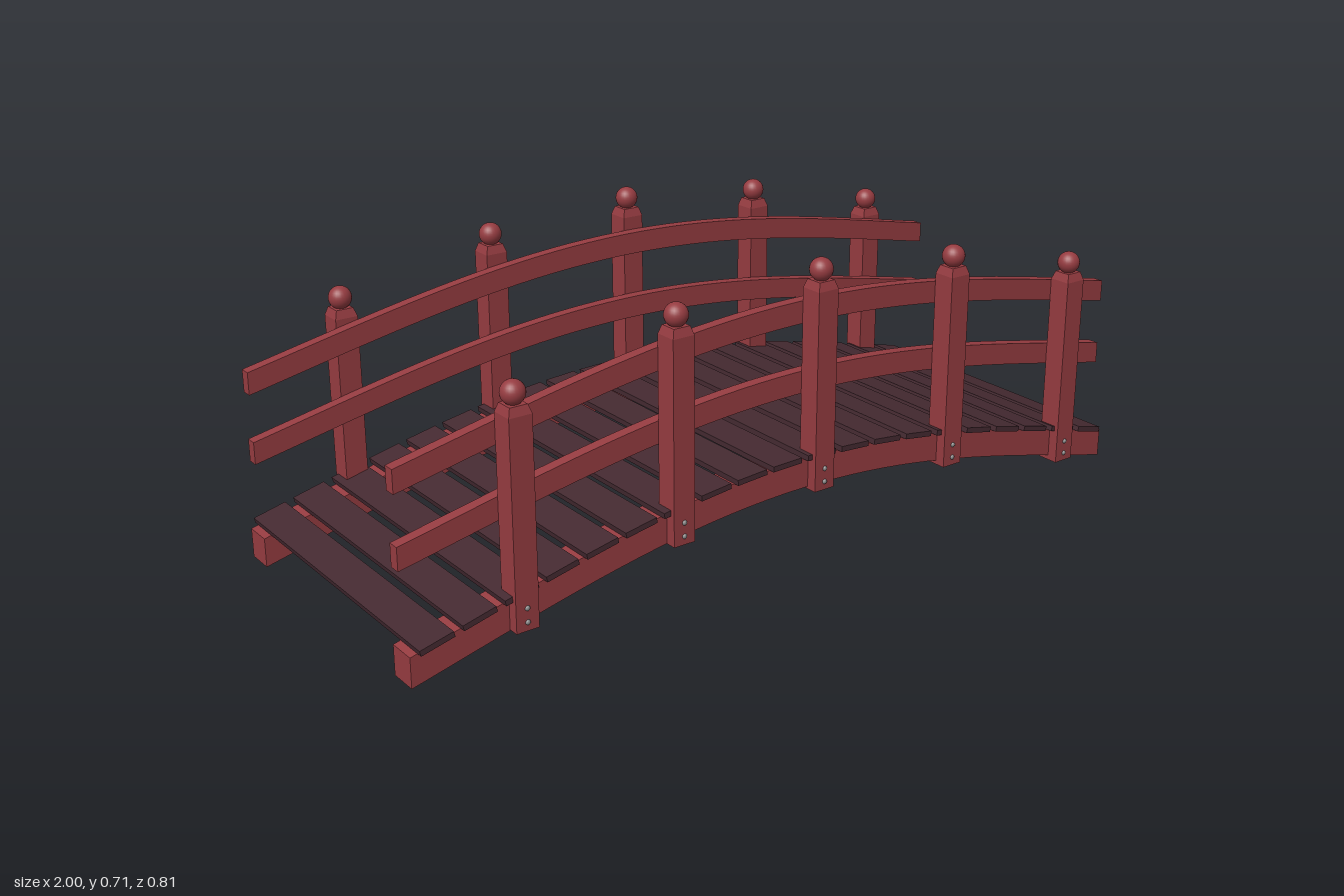
import * as THREE from 'three';
import { toCreasedNormals } from 'three/addons/utils/BufferGeometryUtils.js';

const red = new THREE.MeshStandardMaterial({ color: 0x963c41 });
const dark = new THREE.MeshStandardMaterial({ color: 0x452a31 });
const metal = new THREE.MeshStandardMaterial({ color: 0x8a8a8a });

// Arch: 0 at the crown, 1 at either end, nearly straight towards the ends
const BEND = 1.8;
const arch = (x) => (1 - Math.cos(BEND * x)) / (1 - Math.cos(BEND));
const DROP = 0.17;
const beamTop = (x) => 0.245 - DROP * arch(x);

function add(parent, geometry, material, name, x = 0, y = 0, z = 0) {
  const mesh = new THREE.Mesh(geometry, material);
  mesh.name = name;
  mesh.position.set(x, y, z);
  parent.add(mesh);
  return mesh;
}

// Curved timber running the length of the bridge, with upright cut ends
function curvedTimber(top, thickness, drop, width) {
  const n = 40;
  const points = [];
  for (let i = 0; i <= n; i++) {
    const x = -1 + (2 * i) / n;
    points.push(new THREE.Vector2(x, top - thickness - drop * arch(x)));
  }
  for (let i = n; i >= 0; i--) {
    const x = -1 + (2 * i) / n;
    points.push(new THREE.Vector2(x, top - drop * arch(x)));
  }
  const geometry = new THREE.ExtrudeGeometry(new THREE.Shape(points), { depth: width, bevelEnabled: false });
  geometry.translate(0, 0, -width / 2);
  return toCreasedNormals(geometry, 0.5);
}

export function createModel() {
  const bridge = new THREE.Group();
  bridge.name = 'archedFootbridge';

  const beam = curvedTimber(0.245, 0.07, DROP, 0.07);
  const topRail = curvedTimber(0.61, 0.053, 0.14, 0.028);
  const lowerRail = curvedTimber(0.445, 0.053, 0.14, 0.028);

  // Post parts, measured up from the foot of the post
  const size = 0.055;
  const shaft = new THREE.BoxGeometry(size, 0.472, size);
  const cap = new THREE.CylinderGeometry(0.021 * Math.SQRT2, (size / 2) * Math.SQRT2, 0.02, 4, 1);
  cap.rotateY(Math.PI / 4);
  const capFlat = cap.toNonIndexed();
  capFlat.computeVertexNormals();
  const ball = new THREE.SphereGeometry(0.027, 24, 16);
  const bolt = new THREE.SphereGeometry(0.006, 10, 8);
  bolt.scale(1, 1, 0.8);

  for (const side of [1, -1]) {
    const railing = new THREE.Group();
    railing.name = side > 0 ? 'frontRailing' : 'backRailing';
    bridge.add(railing);
    add(railing, beam, red, 'supportBeam', 0, 0, side * 0.34);
    add(railing, topRail, red, 'topRail', 0, 0, side * 0.332);
    add(railing, lowerRail, red, 'lowerRail', 0, 0, side * 0.332);

    for (const x of [-0.742, -0.345, 0.047, 0.447, 0.84]) {
      const post = new THREE.Group();
      post.name = 'post';
      post.position.set(x, 0.17 - DROP * arch(x), side * 0.3735);
      railing.add(post);
      add(post, shaft, red, 'postShaft', 0, 0.236, 0);
      add(post, capFlat, red, 'postCap', 0, 0.482, 0);
      add(post, ball, red, 'ballFinial', 0, 0.515, 0);
      for (const y of [0.02, 0.052]) add(post, bolt, metal, 'bolt', 0, y, side * size / 2);
    }
  }

  // Deck planks, each tilted to follow the arch
  const thickness = 0.013;
  const plank = new THREE.BoxGeometry(0.081, thickness, 0.78);
  const count = 20;
  for (let i = 0; i < count; i++) {
    const x = -0.945 + (i * 1.886) / (count - 1);
    const slope = (beamTop(x + 0.03) - beamTop(x - 0.03)) / 0.06;
    const mesh = add(bridge, plank, dark, 'deckPlank', x, beamTop(x) + thickness / 2, 0);
    mesh.rotation.z = Math.atan(slope);
  }
  return bridge;
}
